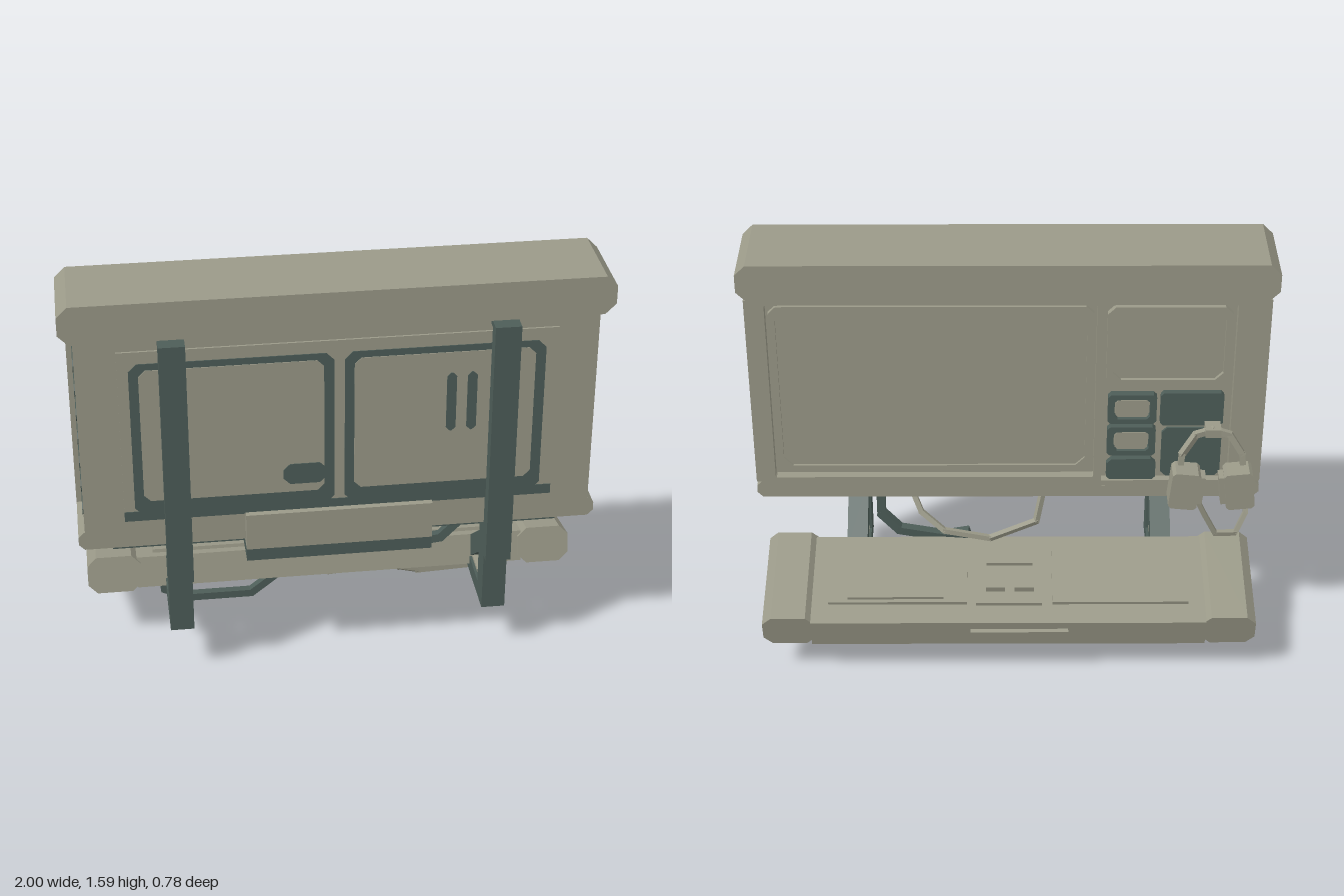
import * as THREE from 'three';

export function createModel() {
  const root = new THREE.Group();
  root.name = 'wallConsole';
  const light = new THREE.MeshStandardMaterial({ color: 0x9a9988 });
  light.name = 'greyBeige';
  const dark = new THREE.MeshStandardMaterial({ color: 0x4d5d58 });
  dark.name = 'darkTeal';

  const add = (parent, name, geo, mat) => {
    const m = new THREE.Mesh(geo, mat);
    m.name = name;
    parent.add(m);
    return m;
  };
  // box given by its limits
  const box = (p, name, mat, x0, x1, y0, y1, z0, z1) => {
    const m = add(p, name, new THREE.BoxGeometry(x1 - x0, y1 - y0, z1 - z0), mat);
    m.position.set((x0 + x1) / 2, (y0 + y1) / 2, (z0 + z1) / 2);
    return m;
  };
  const octagon = (x0, x1, y0, y1, c) => [
    [x0 + c, y0], [x1 - c, y0], [x1, y0 + c], [x1, y1 - c],
    [x1 - c, y1], [x0 + c, y1], [x0, y1 - c], [x0, y0 + c],
  ].map(([x, y]) => new THREE.Vector2(x, y));
  // block with cut corners in x-y, optionally pierced by cut-corner holes
  const block = (p, name, mat, x0, x1, y0, y1, z0, z1, c, holes = []) => {
    const s = new THREE.Shape(octagon(x0, x1, y0, y1, c));
    for (const h of holes) s.holes.push(new THREE.Path(octagon(...h)));
    const g = new THREE.ExtrudeGeometry(s, { depth: z1 - z0, bevelEnabled: false });
    g.translate(0, 0, z0);
    return add(p, name, g, mat);
  };
  // square-section cable made of straight pieces
  const cable = (p, name, mat, r, pts) => {
    const g = new THREE.Group();
    g.name = name;
    p.add(g);
    for (let i = 0; i + 1 < pts.length; i++) {
      const a = new THREE.Vector3(...pts[i]), b = new THREE.Vector3(...pts[i + 1]);
      const d = b.clone().sub(a);
      const geo = new THREE.CylinderGeometry(r, r, d.length() + r * 0.7, 4).toNonIndexed();
      geo.rotateY(Math.PI / 4);
      geo.computeVertexNormals();
      const m = add(g, name + 'Piece', geo, mat);
      m.position.copy(a).add(b).multiplyScalar(0.5);
      m.quaternion.setFromUnitVectors(new THREE.Vector3(0, 1, 0), d.normalize());
    }
  };

  // cabinet
  const cab = new THREE.Group();
  cab.name = 'cabinet';
  root.add(cab);
  block(cab, 'topCap', light, -1, 1, 1.45, 1.6, 0.01, 0.335, 0.04);
  box(cab, 'cabinetBody', light, -0.95, 0.95, 0.6, 1.46, 0.045, 0.31);
  block(cab, 'bottomFlange', light, -0.975, 0.975, 0.577, 0.652, 0.012, 0.31, 0.022);
  block(cab, 'screenFrame', light, -0.95, 0.95, 0.6, 1.46, 0.01, 0.05, 0.001,
    [[-0.33, 0.9, 0.67, 1.435, 0.004], [-0.85, -0.36, 0.63, 1.435, 0.004]]);
  block(cab, 'mainScreenRim', light, -0.32, 0.89, 0.69, 1.42, 0.025, 0.046, 0.03,
    [[-0.295, 0.865, 0.715, 1.395, 0.035]]);
  block(cab, 'mainScreen', light, -0.296, 0.866, 0.714, 1.396, 0.035, 0.046, 0.035);
  block(cab, 'sideScreenRim', light, -0.835, -0.37, 1.08, 1.42, 0.02, 0.046, 0.03,
    [[-0.81, -0.395, 1.105, 1.395, 0.03]]);
  block(cab, 'sideScreen', light, -0.811, -0.394, 1.104, 1.396, 0.035, 0.046, 0.03);

  // control keys beside the main screen
  for (const y of [0.91, 0.765]) {
    block(cab, 'keyBezel', dark, -0.565, -0.38, y, y + 0.13, 0.015, 0.046, 0.012,
      [[-0.54, -0.405, y + 0.022, y + 0.108, 0.012]]);
    block(cab, 'keyFace', light, -0.535, -0.41, y + 0.027, y + 0.103, 0.022, 0.046, 0.01);
  }
  block(cab, 'darkPanel', dark, -0.82, -0.58, 0.9, 1.045, 0.02, 0.046, 0.012);
  block(cab, 'lowerDarkPanel', dark, -0.57, -0.38, 0.645, 0.745, 0.02, 0.046, 0.02);
  block(cab, 'cradlePanel', dark, -0.82, -0.59, 0.66, 0.88, 0.034, 0.046, 0.02);

  // side strips and vents
  for (const s of [-1, 1]) {
    const a = s > 0 ? 0.945 : -0.975;
    box(cab, 'sideStrip', light, a, a + 0.03, 0.65, 1.455, 0.012, 0.088);
    for (let i = 0; i < 7; i++) {
      const v = block(cab, 'sideVent', dark, -0.075, 0.075, -0.026, 0.026, -0.003, 0.003, 0.018);
      v.rotation.y = Math.PI / 2;
      v.position.set(s * 0.951, 0.718 + i * 0.1005, 0.187);
    }
  }

  // rear doors
  box(cab, 'doorPanel', light, -0.8, 0.8, 0.73, 1.4, 0.3, 0.318);
  box(cab, 'doorSill', dark, -0.8, 0.8, 0.695, 0.735, 0.3, 0.321);
  for (const [x0, x1] of [[-0.76, -0.02], [0.018, 0.755]]) {
    block(cab, 'doorGap', dark, x0, x1, 0.72, 1.352, 0.315, 0.321, 0.03);
    block(cab, 'door', light, x0 + 0.035, x1 - 0.038, 0.78, 1.326, 0.317, 0.324, 0.025);
  }
  block(cab, 'doorHandle', dark, -0.21, -0.05, 0.815, 0.9, 0.318, 0.327, 0.025);
  for (const x of [0.392, 0.468])
    block(cab, 'doorSlot', dark, x, x + 0.036, 1.0, 1.243, 0.318, 0.327, 0.015);

  // underside fittings
  box(cab, 'underPlate', dark, -0.85, 0.845, 0.525, 0.58, 0.11, 0.24);
  box(cab, 'junctionBox', light, -0.353, 0.348, 0.55, 0.7, 0.2, 0.345);
  box(cab, 'junctionBase', dark, -0.353, 0.348, 0.5, 0.55, 0.2, 0.345);

  // brackets
  for (const x of [-0.605, 0.598]) {
    const g = new THREE.Group();
    g.name = 'bracket';
    g.position.x = x;
    root.add(g);
    box(g, 'bracketRail', dark, -0.048, 0.048, 0.45, 1.43, 0.335, 0.388);
    box(g, 'bracketTopHook', dark, -0.048, 0.048, 1.425, 1.448, 0.31, 0.388);
    box(g, 'bracketSpacer', dark, -0.036, 0.036, 0.69, 1.4, 0.31, 0.336);
    box(g, 'bracketPost', dark, -0.045, 0.045, 0.2, 0.7, 0.24, 0.336);
    box(g, 'bracketArm', dark, -0.045, 0.045, 0.2, 0.262, -0.03, 0.336);
    box(g, 'armPad', light, -0.035, 0.035, 0.26, 0.274, 0.05, 0.28);
    const strut = box(g, 'bracketStrut', dark, -0.04, 0.04, -0.04, 0.04, -0.15, 0.15);
    strut.position.set(0, 0.385, 0.16);
    strut.rotation.x = -0.66;
  }

  // tilted control tray
  const tray = new THREE.Group();
  tray.name = 'controlTray';
  tray.position.set(0, 0.25, -0.14);
  tray.rotation.x = -0.215;
  root.add(tray);
  box(tray, 'trayMiddle', light, -0.76, 0.76, -0.065, 0.06, -0.233, 0.21);
  for (const [x0, x1] of [[-0.952, -0.745], [0.745, 0.947]])
    block(tray, 'trayEnd', light, x0, x1, -0.073, 0.074, -0.222, 0.222, 0.035);
  box(tray, 'trayLip', light, -0.23, 0.145, -0.035, 0.025, -0.25, -0.23);
  for (const [x0, x1] of [[-0.695, -0.17], [0.16, 0.695]])
    box(tray, 'trayPanel', light, x0, x1, 0.055, 0.074, -0.14, 0.17);
  box(tray, 'keyPanel', light, -0.13, 0.125, 0.055, 0.074, -0.145, 0.17);
  box(tray, 'slotBar', light, 0.25, 0.62, 0.07, 0.086, -0.125, -0.095);
  for (const x of [-0.1, 0.012])
    box(tray, 'trayKey', light, x, x + 0.075, 0.07, 0.098, -0.088, -0.015);
  box(tray, 'trayWideKey', light, -0.095, 0.085, 0.07, 0.09, 0.045, 0.135);

  // cables and their plugs
  cable(root, 'trayCableDark', dark, 0.022, [[-0.65, 0.18, -0.14], [-0.65, 0.07, -0.14],
    [-0.55, 0.024, -0.14], [-0.3, 0.024, -0.14], [-0.205, 0.1, -0.14], [-0.205, 0.18, -0.14]]);
  box(root, 'darkPlug', dark, -0.7, -0.605, 0.155, 0.2, -0.17, -0.11);
  box(root, 'darkPlug', dark, -0.25, -0.155, 0.155, 0.2, -0.17, -0.11);
  cable(root, 'trayCableMiddle', light, 0.019, [[-0.36, 0.175, -0.08], [-0.28, 0.145, -0.1],
    [0.02, 0.08, -0.17], [0.16, 0.105, -0.15], [0.105, 0.195, -0.06]]);
  cable(root, 'trayCableRight', light, 0.019, [[0.275, 0.185, -0.07], [0.3, 0.09, -0.15],
    [0.39, 0.035, -0.2], [0.62, 0.045, -0.2], [0.695, 0.13, -0.17], [0.65, 0.18, -0.15]]);
  box(root, 'lightPlug', light, 0.6, 0.695, 0.155, 0.2, -0.2, -0.12);
  cable(root, 'hangingCableDark', dark, 0.024, [[0.5, 0.55, 0.085], [0.5, 0.45, 0.085],
    [0.43, 0.375, 0.08], [0.25, 0.348, 0.07], [0.16, 0.372, 0.06]]);
  cable(root, 'hangingCableLight', light, 0.014, [[-0.14, 0.59, 0.06], [-0.11, 0.46, 0.01],
    [0.07, 0.415, -0.04], [0.25, 0.437, -0.02], [0.34, 0.5, 0.02], [0.38, 0.59, 0.06]]);

  // headset hung on a hook
  const set = new THREE.Group();
  set.name = 'headset';
  root.add(set);
  box(set, 'headsetHook', light, -0.81, -0.75, 0.885, 0.92, -0.045, 0.03);
  cable(set, 'headsetCord', light, 0.013, [[-0.93, 0.59, 0.05], [-0.93, 0.5, 0.01],
    [-0.89, 0.432, -0.03], [-0.81, 0.437, -0.04], [-0.765, 0.53, -0.05], [-0.72, 0.63, -0.06]]);
  cable(set, 'headband', light, 0.016, [[-0.905, 0.7, -0.05], [-0.895, 0.81, -0.04],
    [-0.845, 0.89, -0.028], [-0.78, 0.91, -0.025], [-0.715, 0.89, -0.028],
    [-0.665, 0.81, -0.04], [-0.655, 0.7, -0.05]]);
  for (const s of [-1, 1]) {
    const cup = new THREE.Group();
    cup.name = 'earCup';
    cup.position.set(-0.78 + s * 0.105, 0.685, -0.068);
    cup.rotation.z = s * 0.1;
    set.add(cup);
    block(cup, 'cupShell', light, -0.055, 0.055, -0.08, 0.08, -0.05, 0.04, 0.012);
    box(cup, 'cupPad', light, s > 0 ? -0.075 : 0.05, s > 0 ? -0.05 : 0.075, -0.06, 0.06, -0.035, 0.025);
  }
  return root;
}
